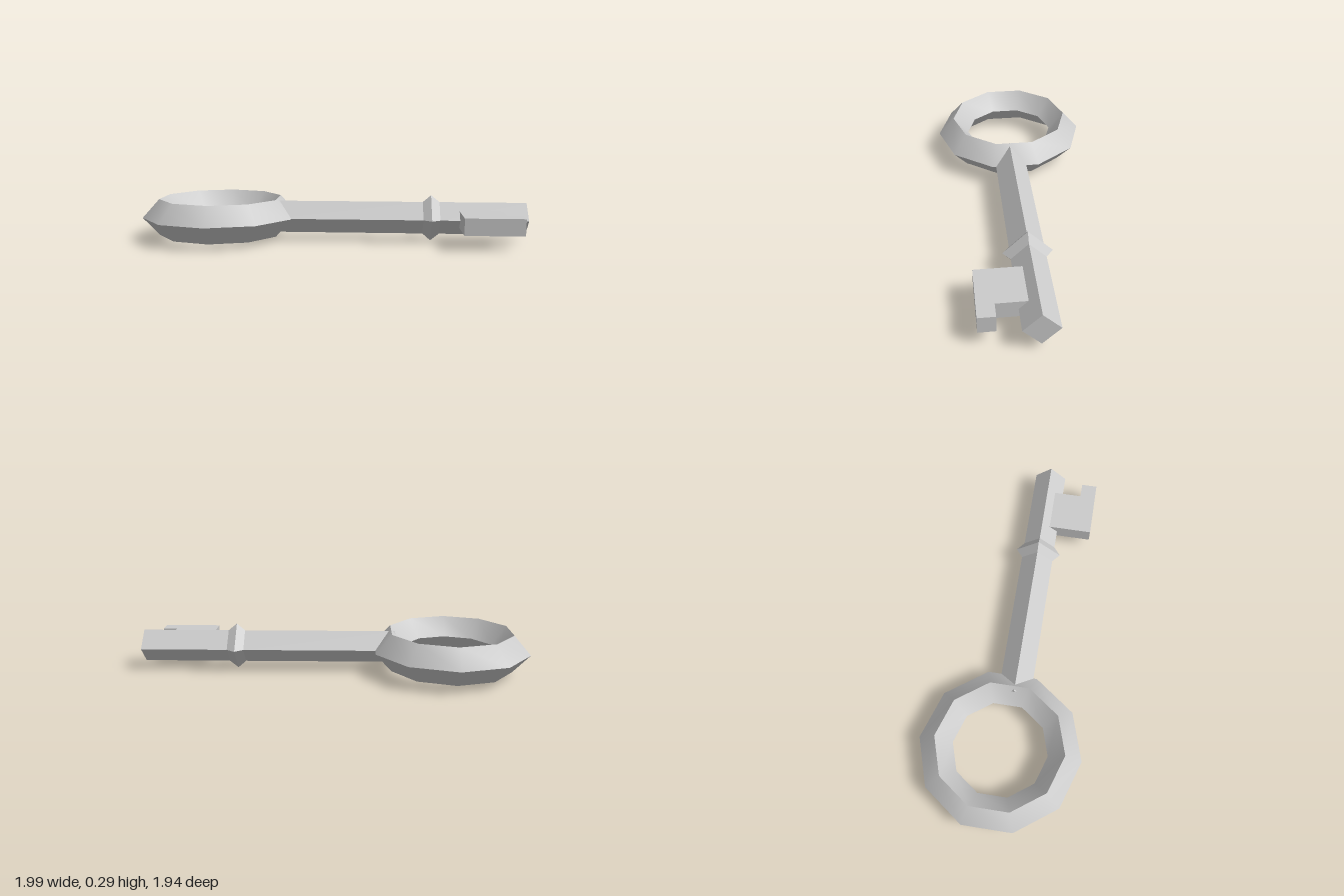
import * as THREE from 'three';
import { toCreasedNormals } from 'three/addons/utils/BufferGeometryUtils.js';

const material = new THREE.MeshStandardMaterial({ color: 0xcccccc });
const flatMaterial = new THREE.MeshStandardMaterial({ color: 0xcccccc, flatShading: true });

const points = (list) => list.map(([a, b]) => new THREE.Vector2(a, b));

function add(parent, name, geometry, mat) {
  const mesh = new THREE.Mesh(geometry, mat);
  mesh.name = name;
  parent.add(mesh);
  return mesh;
}

export function createModel() {
  const model = new THREE.Group();
  model.name = 'key';

  // The key lies flat: bow at the local origin, shaft along local +x
  const key = new THREE.Group();
  key.name = 'keyBody';
  key.position.set(-0.524, 0.143, -0.489);
  key.rotation.y = -0.693;
  model.add(key);

  // Bow: ten-sided ring with a diamond section, creased along its ridges
  const bow = new THREE.LatheGeometry(
    points([[0.386, -0.115], [0.49, 0], [0.386, 0.115], [0.287, 0], [0.386, -0.115]]), 10);
  add(key, 'bowRing', toCreasedNormals(bow, 0.8), material);

  // Shaft: square bar standing on its edge, with a flared collar
  const shaft = new THREE.LatheGeometry(
    points([[0, 0.34], [0.1, 0.34], [0.1, 1.28], [0.143, 1.33],
      [0.1, 1.383], [0.1, 1.916], [0, 1.916]]), 4);
  shaft.rotateZ(-Math.PI / 2);
  add(key, 'shaftWithCollar', shaft, flatMaterial).position.z = 0.03;

  // Bit: flat plate with one tooth toward the tip
  const outline = new THREE.Shape(points([[1.503, 0.03], [1.765, 0.03], [1.765, 0.251],
    [1.855, 0.251], [1.855, 0.348], [1.503, 0.348]]));
  const bit = new THREE.ExtrudeGeometry(outline, { depth: 0.102, bevelEnabled: false });
  bit.rotateX(Math.PI / 2);
  bit.translate(0, 0.051, 0);
  add(key, 'bit', bit, flatMaterial);

  return model;
}
